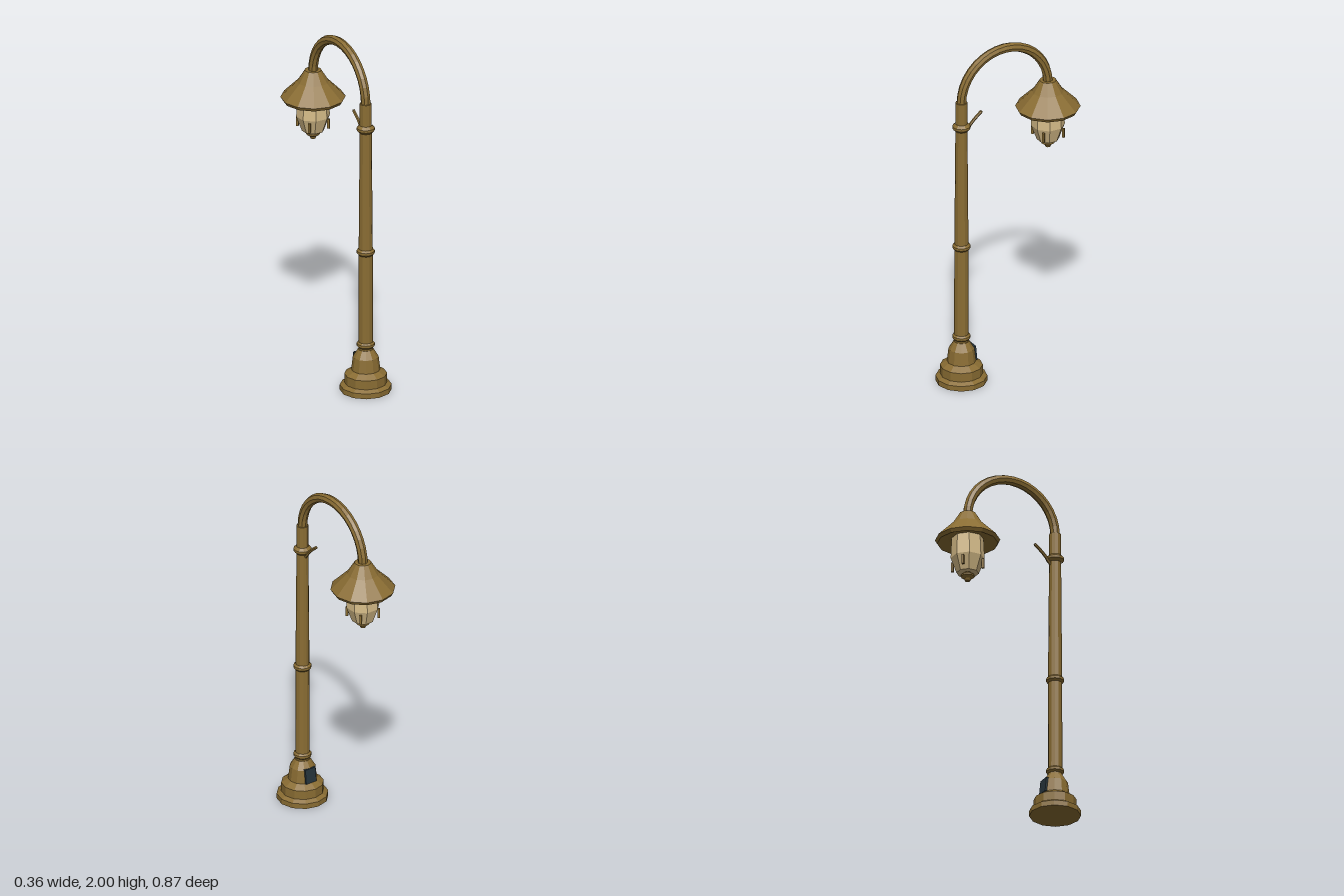
import * as THREE from 'three';

const POLE_Z = 0.29;
const LAMP_Z = -0.255;

export function createModel() {
  const group = new THREE.Group();
  const make = (name, color) => {
    const m = new THREE.MeshStandardMaterial({ color, flatShading: true });
    m.name = name;
    return m;
  };
  const bronze = make('bronze', 0x8a6d33);
  const glass = make('warm glass', 0xd6bc88);
  const dark = make('dark panel', 0x26343c);

  const add = (name, geometry, material, x = 0, y = 0, z = 0) => {
    const mesh = new THREE.Mesh(geometry, material);
    mesh.name = name;
    mesh.position.set(x, y, z);
    group.add(mesh);
    return mesh;
  };
  // Turned part: [radius, height] pairs from bottom to top
  const turned = (name, profile, material, z, sides = 12) =>
    add(name, new THREE.LatheGeometry(profile.map(([r, y]) => new THREE.Vector2(r, y)), sides), material, 0, 0, z);

  // Stepped base
  turned('base', [
    [0, 0], [0.143, 0], [0.143, 0.03], [0.118, 0.045], [0.118, 0.097], [0.08, 0.122],
    [0.071, 0.198], [0.043, 0.243], [0, 0.243],
  ], bronze, POLE_Z);

  // Tapered pole, open collar at the top
  turned('pole', [[0.04, 0.24], [0.039, 0.82], [0.033, 1.56], [0.033, 1.705], [0, 1.705]], bronze, POLE_Z);

  // Rings around the pole
  for (const y of [0.27, 0.822, 1.555]) {
    turned('poleRing', [[0.036, y - 0.022], [0.05, y - 0.007], [0.05, y + 0.007], [0.034, y + 0.022]], bronze, POLE_Z);
  }

  // Service door on the back of the base
  const door = add('serviceDoor', new THREE.BoxGeometry(0.07, 0.085, 0.03), dark, 0, 0.163, 0.228);
  door.rotation.x = 0.1;

  // Half-circle arm
  const radius = (POLE_Z - LAMP_Z) / 2;
  const arc = [];
  for (let i = 0; i <= 16; i++) {
    const a = (i / 16) * Math.PI;
    arc.push(new THREE.Vector3(0, 1.7 + radius * Math.sin(a), LAMP_Z + radius + radius * Math.cos(a)));
  }
  add('arm', new THREE.TubeGeometry(new THREE.CatmullRomCurve3(arc), 18, 0.027, 8), bronze);

  // Small curved hook beside the upper ring
  const hook = new THREE.CatmullRomCurve3([
    new THREE.Vector3(0, 1.515, 0.265), new THREE.Vector3(0, 1.57, 0.222), new THREE.Vector3(0, 1.618, 0.167),
  ]);
  add('hook', new THREE.TubeGeometry(hook, 5, 0.009, 6), bronze);
  const tip = add('hookTip', new THREE.SphereGeometry(0.009, 6, 4), bronze, 0, 1.618, 0.167);
  tip.rotation.x = 0.7;

  // Lamp shade with a recessed underside
  turned('shade', [
    [0, 1.565], [0.11, 1.56], [0.168, 1.533], [0.18, 1.553], [0.088, 1.645], [0.046, 1.712], [0, 1.712],
  ], bronze, LAMP_Z);

  // Glass bowl, turned so flats face the axes
  const bowl = turned('glassBowl', [
    [0, 1.35], [0.062, 1.352], [0.094, 1.44], [0.088, 1.565],
  ], glass, LAMP_Z, 8);
  bowl.rotation.y = Math.PI / 8;

  // Finial below the bowl
  turned('finial', [
    [0, 1.304], [0.014, 1.304], [0.02, 1.318], [0.038, 1.33], [0.038, 1.339], [0.024, 1.35], [0.03, 1.358], [0, 1.358],
  ], bronze, LAMP_Z);

  // Four prongs holding the glass on the diagonals
  for (let i = 0; i < 4; i++) {
    const a = Math.PI / 4 + (i * Math.PI) / 2;
    const prong = add('prong', new THREE.BoxGeometry(0.012, 0.055, 0.014), bronze,
      0.088 * Math.sin(a), 1.398, LAMP_Z + 0.088 * Math.cos(a));
    prong.rotation.y = a;
  }
  return group;
}
